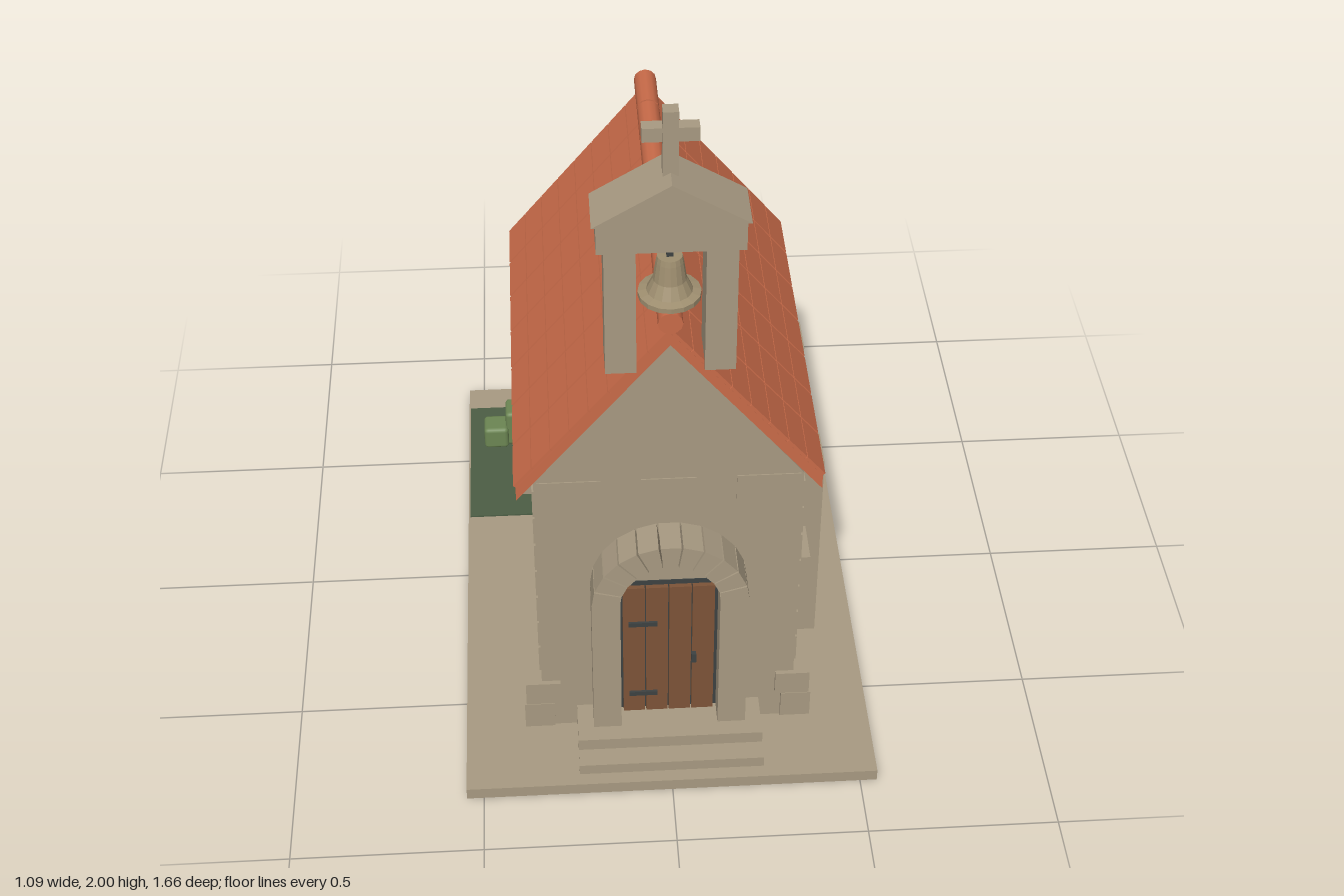
import * as THREE from 'three';
import { RoundedBoxGeometry } from 'three/addons/geometries/RoundedBoxGeometry.js';

const paint = (name, color) => {
  const m = new THREE.MeshStandardMaterial({ color });
  m.name = name;
  return m;
};

export function createModel() {
  const stone = paint('stone', 0xa89a82);
  const clay = paint('clay tile', 0xc96b49);
  const wood = paint('wood', 0x7d5438);
  const iron = paint('dark iron', 0x3d4242);
  const bronze = paint('bell bronze', 0x9f8f70);
  const leaf = paint('leaf', 0x6c8653);
  const grass = paint('grass', 0x4c5e45);

  const model = new THREE.Group();
  model.name = 'chapel';
  const add = (name, geometry, material, parent = model) => {
    const mesh = new THREE.Mesh(geometry, material);
    mesh.name = name;
    parent.add(mesh);
    return mesh;
  };
  // Box given by its lower and upper bounds on each axis
  const box = (name, mat, x0, x1, y0, y1, z0, z1, parent) => {
    const mesh = add(name, new THREE.BoxGeometry(x1 - x0, y1 - y0, z1 - z0), mat, parent);
    mesh.position.set((x0 + x1) / 2, (y0 + y1) / 2, (z0 + z1) / 2);
    return mesh;
  };
  // Outline in x and y, pulled along z from z0 to z1
  const prism = (name, mat, points, z0, z1, parent) => {
    const shape = new THREE.Shape(points.map(([x, y]) => new THREE.Vector2(x, y)));
    const geometry = new THREE.ExtrudeGeometry(shape, { depth: z1 - z0, bevelEnabled: false });
    geometry.translate(0, 0, z0);
    return add(name, geometry, mat, parent);
  };
  let seed = 7;
  const rand = () => (seed = (seed * 16807) % 2147483647) / 2147483647;

  // Ground slab, grass patch and bushes
  box('groundSlab', stone, -0.545, 0.545, 0, 0.035, -0.8, 0.83);
  box('grassPatch', grass, -0.54, -0.3, 0.035, 0.04, -0.705, -0.21);
  for (const [x, z, s] of [[-0.458, -0.547, 0.075], [-0.388, -0.563, 0.08], [-0.37, -0.505, 0.045]]) {
    const h = s === 0.08 ? 0.125 : s;
    const bush = add('bush', new RoundedBoxGeometry(s, h, s, 2, 0.012), leaf);
    bush.position.set(x, 0.04 + h / 2, z);
  }

  // Nave walls with both gables
  prism('naveWalls', stone,
    [[-0.337, 0.035], [0.337, 0.035], [0.337, 0.92], [0, 1.36], [-0.337, 0.92]], -0.39, 0.615);

  // Slightly raised wall stones on both long walls
  const masonry = new THREE.Group();
  masonry.name = 'masonry';
  model.add(masonry);
  for (const side of [-1, 1]) {
    for (let row = 0; row < 9; row++) {
      const y = 0.06 + row * 0.093;
      for (let z = -0.38 + (row % 2) * 0.06; z < 0.46; z += 0.17) {
        const w = 0.1 + rand() * 0.05;
        const nearWindow = [0.365, -0.115].some((c) => z < c + 0.07 && z + w > c - 0.07);
        if (rand() < 0.45 || (side > 0 && nearWindow && y > 0.33 && y < 0.76)) continue;
        box('wallStone', stone, side * 0.338 - 0.004, side * 0.338 + 0.004, y, y + 0.085, z, z + w, masonry);
      }
      if (row > 1) {
        const w = row % 2 ? 0.08 : 0.13;
        box('edgeStone', stone, side * 0.338 - 0.004, side * 0.338 + 0.004, y, y + 0.085, 0.612 - w, 0.612, masonry);
      }
    }
    // Corner footing blocks, front and back
    for (const [z0, z1] of [[0.525, 0.627], [-0.393, -0.295]]) {
      const inset = z0 > 0 ? 0.015 : 0;
      const block = (a, b, y0, y1, c, d) =>
        box('cornerBlock', stone, Math.min(side * a, side * b), Math.max(side * a, side * b), y0, y1, c, d);
      block(0.305, 0.385, 0.042, 0.128, z0 + inset, z1);
      block(0.288, 0.38, 0.13, 0.205, z0, z1);
    }
  }
  box('gableStone', stone, -0.07, 0.07, 0.83, 0.92, 0.61, 0.618, masonry);
  for (const s of [-0.25, 0.25]) box('gableStone', stone, s - 0.08, s + 0.08, 0.83, 0.92, 0.61, 0.618, masonry);

  // Buttresses on the left wall
  for (const z of [0.247, -0.235]) {
    prism('buttress', stone,
      [[0.33, 0.035], [0.437, 0.035], [0.437, 0.672], [0.33, 0.685]], z - 0.058, z + 0.058);
  }

  // Narrow windows on the left wall
  for (const z of [0.365, -0.115]) {
    const win = new THREE.Group();
    win.name = 'window';
    model.add(win);
    box('windowPane', iron, 0.33, 0.352, 0.438, 0.735, z - 0.045, z + 0.045, win);
    box('windowMullion', wood, 0.345, 0.36, 0.442, 0.735, z - 0.014, z + 0.014, win);
    for (const s of [-1, 1]) {
      box('windowJamb', iron, 0.335, 0.365, 0.438, 0.735, z + s * 0.038 - 0.007, z + s * 0.038 + 0.007, win);
    }
    box('windowSill', stone, 0.33, 0.395, 0.42, 0.438, z - 0.061, z + 0.061, win);
    box('windowLintel', stone, 0.33, 0.37, 0.735, 0.755, z - 0.052, z + 0.052, win);
  }

  // Steps
  box('lowerStep', stone, -0.245, 0.245, 0.035, 0.068, 0.6, 0.795);
  box('upperStep', stone, -0.245, 0.245, 0.068, 0.105, 0.6, 0.74);

  // Door with planks, frame, hinges and handle
  const door = new THREE.Group();
  door.name = 'door';
  model.add(door);
  box('doorBacking', iron, -0.13, 0.13, 0.105, 0.58, 0.61, 0.63, door);
  for (let i = 0; i < 4; i++) {
    const x = -0.12 + i * 0.0605;
    box('doorPlank', wood, x, x + 0.0575, 0.105, 0.565, 0.625, 0.642, door);
  }
  for (const y of [0.175, 0.437]) box('hinge', iron, -0.105, -0.03, y - 0.007, y + 0.007, 0.64, 0.648, door);
  box('doorHandle', iron, 0.06, 0.072, 0.295, 0.325, 0.64, 0.655, door);

  // Portal: jambs, infill above the door and ring of arch stones
  const portal = new THREE.Group();
  portal.name = 'portal';
  model.add(portal);
  for (const s of [-1, 1]) box('jamb', stone, s * 0.165 - 0.037, s * 0.165 + 0.037, 0.105, 0.567, 0.6, 0.695, portal);
  const infill = add('archInfill', new THREE.CylinderGeometry(0.135, 0.135, 0.02, 24, 1, false, Math.PI / 2, Math.PI), stone, portal);
  infill.rotation.x = Math.PI / 2;
  infill.position.set(0, 0.575, 0.618);
  const count = 11;
  for (let i = 0; i < count; i++) {
    const a0 = (Math.PI * (i + 0.04)) / count, a1 = (Math.PI * (i + 0.96)) / count;
    const at = (r, a) => [r * Math.cos(a), 0.567 + r * Math.sin(a)];
    prism('archStone', stone, [at(0.13, a0), at(0.202, a0), at(0.202, a1), at(0.13, a1)], 0.6, 0.708, portal);
  }

  // Eight-sided apse with its pointed roof
  const apse = add('apseWall', new THREE.CylinderGeometry(0.335, 0.335, 0.725, 8).toNonIndexed(), stone);
  apse.geometry.computeVertexNormals();
  apse.position.set(0, 0.3975, -0.455);
  const apseRoof = add('apseRoof', new THREE.ConeGeometry(0.38, 0.31, 8).toNonIndexed(), clay);
  apseRoof.geometry.computeVertexNormals();
  apseRoof.position.set(0, 0.915, -0.455);

  // Main roof: chevron slab, tiles and ridge caps
  const roof = new THREE.Group();
  roof.name = 'roof';
  model.add(roof);
  prism('roofSlab', clay,
    [[0, 1.402], [-0.38, 0.932], [-0.38, 0.89], [0, 1.366], [0.38, 0.89], [0.38, 0.932]], -0.422, 0.642, roof);
  const slope = Math.atan2(0.47, 0.38), length = Math.hypot(0.47, 0.38);
  const rows = 8, columns = 7, pitch = 1.07 / columns;
  for (let c = 0; c < columns; c++) {
    const z = -0.425 + (c + 0.5) * pitch;
    for (const side of [-1, 1]) {
      for (let r = 0; r < rows; r++) {
        const t = (r + 0.5) / rows;
        const tile = add('roofTile', new THREE.BoxGeometry(length / rows - 0.003, 0.01, pitch - 0.007), clay, roof);
        tile.position.set(side * (0.38 * t + 0.003), 1.402 - 0.47 * t + 0.002, z);
        tile.rotation.z = -side * slope;
      }
    }
    const cap = add('ridgeCap', new THREE.CylinderGeometry(0.03, 0.03, pitch - 0.005, 12), clay, roof);
    cap.rotation.x = Math.PI / 2;
    cap.position.set(0, 1.43, z);
  }

  // Belfry with cross
  const belfry = new THREE.Group();
  belfry.name = 'belfry';
  model.add(belfry);
  for (const s of [-1, 1]) box('belfryPost', stone, s * 0.118 - 0.037, s * 0.118 + 0.037, 1.295, 1.655, 0.547, 0.653, belfry);
  box('belfryBeam', stone, -0.172, 0.172, 1.653, 1.732, 0.537, 0.663, belfry);
  prism('belfryPediment', stone, [[-0.182, 1.73], [0.182, 1.73], [0, 1.84]], 0.53, 0.668, belfry);
  box('crossUpright', stone, -0.018, 0.018, 1.83, 2, 0.583, 0.617, belfry);
  box('crossArms', stone, -0.065, 0.065, 1.922, 1.958, 0.584, 0.616, belfry);

  // Bell and clapper
  const profile = [[0, 1.6], [0.03, 1.6], [0.033, 1.585], [0.04, 1.535], [0.055, 1.503],
    [0.075, 1.498], [0.075, 1.485], [0.06, 1.485], [0, 1.51]];
  const bell = add('bell',
    new THREE.LatheGeometry(profile.reverse().map(([x, y]) => new THREE.Vector2(x, y)), 16).toNonIndexed(), bronze, belfry);
  bell.geometry.computeVertexNormals();
  bell.position.z = 0.6;
  box('bellHanger', iron, -0.01, 0.01, 1.598, 1.655, 0.59, 0.61, belfry).scale.set(0.8, 1, 0.8);
  const clapper = add('clapper', new THREE.SphereGeometry(0.016, 10, 8), iron, belfry);
  clapper.position.set(0, 1.472, 0.6);

  return model;
}
